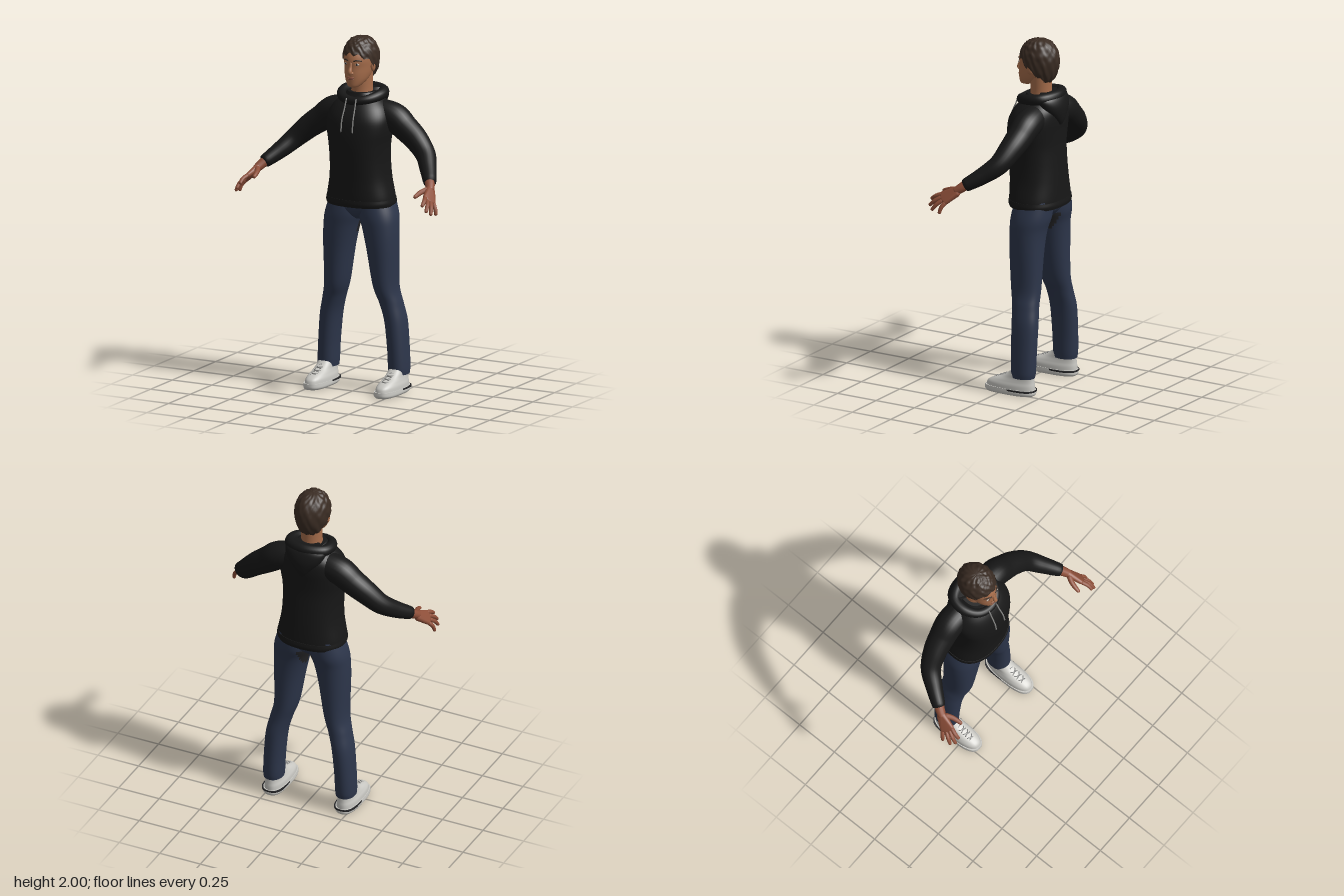
import * as THREE from 'three';
import { mergeVertices } from 'three/addons/utils/BufferGeometryUtils.js';
import { ConvexGeometry } from 'three/addons/geometries/ConvexGeometry.js';

const V = (p) => new THREE.Vector3(...p);
const paint = (name, color, side = THREE.FrontSide) => {
  const m = new THREE.MeshStandardMaterial({ color, side });
  m.name = name;
  return m;
};

// smooth interpolation through rows of numbers, t from 0 to 1
function through(rows) {
  const size = rows[0].length;
  const f = new THREE.CubicInterpolant(rows.map((_, i) => i), new Float32Array(rows.flat()), size);
  return (t) => Array.from(f.evaluate(t * (rows.length - 1)));
}

// weld vertices and recompute smooth normals
function smooth(geo) {
  geo.deleteAttribute('uv');
  geo.deleteAttribute('normal');
  const g = mergeVertices(geo, 1e-5);
  g.computeVertexNormals();
  return g;
}

// stacked level sections [y, xMin, xMax, zBack, zFront], listed upwards;
// isPatch(x, y, z) sends faces to the second material
function loft(sections, { e = 2, n = 40, rows = 40, isPatch } = {}) {
  const at = through(sections), pos = [], main = [], patch = [];
  const pow = (v) => Math.sign(v) * Math.abs(v) ** (2 / e);
  const ring = (t) => {
    const [y, x0, x1, z0, z1] = at(t);
    for (let i = 0; i < n; i++) {
      const a = (i / n) * Math.PI * 2;
      pos.push((x0 + x1) / 2 + ((x1 - x0) / 2) * pow(Math.cos(a)), y,
        (z0 + z1) / 2 + ((z1 - z0) / 2) * pow(Math.sin(a)));
    }
  };
  for (let j = 0; j <= rows; j++) ring(j / rows);
  for (let j = 0; j < rows; j++) for (let i = 0; i < n; i++) {
    const a = j * n + i, b = j * n + (i + 1) % n;
    const list = isPatch && isPatch(...pos.slice(a * 3, a * 3 + 3)) ? patch : main;
    list.push(a, a + n, b, b, a + n, b + n);
  }
  // end caps with their own rings, so the rims stay sharp
  for (const t of [0, 1]) {
    const s = pos.length / 3, [y, x0, x1, z0, z1] = at(t);
    ring(t);
    pos.push((x0 + x1) / 2, y, (z0 + z1) / 2);
    for (let i = 0; i < n; i++) {
      const j = (i + 1) % n;
      if (t) main.push(s + n, s + j, s + i); else main.push(s + n, s + i, s + j);
    }
  }
  const g = new THREE.BufferGeometry();
  g.setAttribute('position', new THREE.Float32BufferAttribute(pos, 3));
  g.setIndex([...main, ...patch]);
  if (isPatch) {
    g.addGroup(0, main.length, 0);
    g.addGroup(main.length, patch.length, 1);
  }
  g.computeVertexNormals();
  return g;
}
// the same with sections symmetric about x = 0: [y, halfWidth, zBack, zFront]
const body = (s, o) => loft(s.map(([y, w, b, f]) => [y, -w, w, b, f]), o);

// tube with a radius at each point [x, y, z, r] and rounded ends
function limb(points, { seg = 32, sides = 16, closed = false, round = 0.1 } = {}) {
  const curve = new THREE.CatmullRomCurve3(points.map((p) => V(p.slice(0, 3))), closed);
  curve.getUtoTmapping = (u) => u;
  const radius = through((closed ? [...points, points[0]] : points).map((p) => [p[3]]));
  const g = new THREE.TubeGeometry(curve, seg, 1, sides, closed);
  const p = g.attributes.position, v = new THREE.Vector3();
  for (let i = 0; i < p.count; i++) {
    const u = Math.floor(i / (sides + 1)) / seg, c = curve.getPointAt(u);
    const d = closed ? 1 : Math.min(1, Math.min(u, 1 - u) / round);
    v.fromBufferAttribute(p, i).sub(c).multiplyScalar(radius(u)[0] * Math.sqrt(1 - (1 - d) ** 2)).add(c);
    p.setXYZ(i, v.x, v.y, v.z);
  }
  return smooth(g);
}

const blob = (c, s) => new THREE.SphereGeometry(1, 20, 14).scale(...s).translate(...c);

export function createModel() {
  const model = new THREE.Group();
  const black = paint('black cotton', 0x171717), denim = paint('navy denim', 0x2d364b);
  const face = paint('face skin', 0xa66d4b), handSkin = paint('hand skin', 0x8e4f39);
  const hairBrown = paint('brown hair', 0x3a2c23, THREE.DoubleSide), shoeWhite = paint('off white', 0xc9c8c3);
  const grey = paint('grey cord', 0x858583), lipRed = paint('lip', 0x87503d);
  const dark = paint('dark trim', 0x262628), eyeWhite = paint('eye white', 0xb9aea4);

  const add = (name, geo, mat) => {
    const m = new THREE.Mesh(geo, mat);
    m.name = name;
    model.add(m);
  };
  // adds the +x part and its mirror image
  const pair = (name, geo, mat) => {
    const g = geo.clone().scale(-1, 1, 1), ix = g.index.array;
    for (let i = 0; i < ix.length; i += 3) [ix[i], ix[i + 1]] = [ix[i + 1], ix[i]];
    g.computeVertexNormals();
    add(name + 'Left', geo, mat);
    add(name + 'Right', g, mat);
  };

  // hooded sweater
  add('sweaterBody', body([
    [1.055, 0.193, -0.248, 0.04], [1.1, 0.193, -0.25, 0.046], [1.2, 0.174, -0.245, 0.05],
    [1.3, 0.168, -0.238, 0.058], [1.4, 0.173, -0.232, 0.065], [1.48, 0.186, -0.235, 0.063],
    [1.55, 0.186, -0.24, 0.052], [1.61, 0.16, -0.235, 0.022], [1.66, 0.11, -0.21, -0.02],
    [1.69, 0.078, -0.185, -0.035]], { e: 2.35, n: 56 }), black);
  add('sweaterHem', body([[1.052, 0.195, -0.252, 0.043], [1.07, 0.199, -0.256, 0.049],
    [1.092, 0.196, -0.253, 0.048]], { e: 2.35, n: 56, rows: 8 }), black);
  pair('sleeve', limb([[0.08, 1.575, -0.13, 0.075], [0.19, 1.55, -0.135, 0.08], [0.26, 1.5, -0.13, 0.074],
    [0.335, 1.445, -0.118, 0.067], [0.41, 1.375, -0.088, 0.057], [0.465, 1.315, -0.02, 0.048],
    [0.53, 1.25, 0.076, 0.035]], { seg: 48, sides: 24, round: 0.03 }), black);

  // hood: rolled collar and the bag hanging behind
  const side = [[0.075, 1.658, -0.028, 0.026], [0.114, 1.674, -0.1, 0.03], [0.1, 1.683, -0.175, 0.031]];
  add('hoodCollar', limb([[0, 1.648, -0.002, 0.024], ...side, [0, 1.688, -0.212, 0.031],
    ...side.map(([x, y, z, r]) => [-x, y, z, r]).reverse()], { seg: 64, closed: true }), black);
  add('hoodBag', body([[1.525, 0.015, -0.245, -0.21], [1.56, 0.045, -0.257, -0.19], [1.62, 0.1, -0.262, -0.15],
    [1.67, 0.122, -0.25, -0.12], [1.705, 0.095, -0.225, -0.13]]), black);
  pair('drawCord', limb([[0.03, 1.668, 0.014, 0.004], [0.032, 1.61, 0.035, 0.004], [0.035, 1.55, 0.06, 0.004],
    [0.036, 1.48, 0.071, 0.0045]], { sides: 8, round: 0.04 }), grey);

  // trousers, with a dark inset at the back of the inner thighs
  pair('trouserLeg', loft([
    [0.1, 0.168, 0.276, -0.198, -0.064], [0.14, 0.165, 0.278, -0.204, -0.06], [0.25, 0.16, 0.273, -0.207, -0.057],
    [0.4, 0.144, 0.261, -0.208, -0.052], [0.5, 0.118, 0.24, -0.198, -0.043], [0.6, 0.086, 0.22, -0.195, -0.02],
    [0.8, 0.05, 0.223, -0.198, -0.005], [0.92, 0.022, 0.222, -0.206, 0], [1.0, -0.004, 0.214, -0.224, 0],
    [1.1, -0.01, 0.182, -0.23, -0.015]], {
    e: 2.2, n: 48, rows: 60,
    isPatch: (x, y, z) => y > 0.84 && y < 0.985 && z < -0.1 && x < 0.03 + (y - 0.84) * 0.12,
  }), [denim, dark]);
  add('trouserSeat', body([[0.97, 0.03, -0.16, -0.05], [1.0, 0.09, -0.195, -0.018], [1.04, 0.17, -0.222, -0.004],
    [1.1, 0.18, -0.23, -0.01]]), denim);

  // shoes
  const sx = 0.222;
  const shoe = (s, o) => loft(s.map(([y, w, b, f]) => [y, sx - w, sx + w, b, f]), o);
  pair('shoeSole', shoe([[0, 0.056, -0.198, 0.098], [0.012, 0.063, -0.205, 0.107], [0.034, 0.062, -0.204, 0.106]],
    { e: 2.7, rows: 8 }), shoeWhite);
  pair('soleStripe', shoe([[0.024, 0.0645, -0.207, -0.0], [0.033, 0.0645, -0.207, -0.0]], { e: 2.7, rows: 2 }), dark);
  pair('shoeUpper', shoe([[0.03, 0.059, -0.2, 0.102], [0.055, 0.057, -0.2, 0.092], [0.075, 0.051, -0.198, 0.06],
    [0.095, 0.046, -0.197, 0.005], [0.115, 0.045, -0.197, -0.035], [0.135, 0.044, -0.197, -0.06]],
    { e: 2.4 }), shoeWhite);
  for (let i = 0; i < 4; i++) {
    const y = 0.079 + i * 0.012, z = 0.052 - i * 0.029;
    for (const d of [-1, 1]) pair('lace', limb([[sx - 0.022 * d, y - 0.005, z - 0.004, 0.003],
      [sx, y + 0.003, z - 0.008, 0.003], [sx + 0.022 * d, y + 0.004, z - 0.024, 0.003]], { seg: 10, sides: 6 }), grey);
  }

  // hands: hulled palm plus fingers
  const knuckles = [[0.558, 1.203, 0.183], [0.571, 1.187, 0.18], [0.582, 1.174, 0.167], [0.589, 1.166, 0.147]];
  const tips = [[0.573, 1.163, 0.253], [0.597, 1.131, 0.25], [0.615, 1.112, 0.225], [0.619, 1.102, 0.172]];
  const hull = [];
  const ball = (c, r) => {
    const p = new THREE.IcosahedronGeometry(r, 2).attributes.position;
    for (let i = 0; i < p.count; i++) hull.push(new THREE.Vector3().fromBufferAttribute(p, i).add(V(c)));
  };
  knuckles.forEach((k) => ball(k, 0.0135));
  ball([0.54, 1.234, 0.1], 0.021);
  ball([0.552, 1.214, 0.1], 0.02);
  pair('palm', smooth(new ConvexGeometry(hull)), handSkin);
  pair('wrist', limb([[0.51, 1.272, 0.05, 0.028], [0.53, 1.247, 0.078, 0.027], [0.55, 1.22, 0.115, 0.022]]), handSkin);
  knuckles.forEach((k, i) => {
    const t = tips[i], mid = k.map((v, a) => (v + t[a]) / 2 + [0.006, 0.004, 0.004][a]);
    pair('finger', limb([[...k, 0.0125], [...mid, 0.0115], [...t, 0.009]], { seg: 20, sides: 10 }), handSkin);
  });
  pair('thumb', limb([[0.54, 1.232, 0.11, 0.017], [0.517, 1.221, 0.155, 0.0145], [0.509, 1.21, 0.19, 0.0125],
    [0.506, 1.2, 0.217, 0.009]], { seg: 20, sides: 10 }), handSkin);

  // head and neck
  add('neck', body([[1.64, 0.068, -0.185, -0.04], [1.7, 0.06, -0.172, -0.05], [1.8, 0.06, -0.172, -0.05]]), face);
  add('head', body([[1.727, 0.016, -0.03, 0.008], [1.735, 0.035, -0.06, 0.02], [1.765, 0.058, -0.12, 0.024],
    [1.8, 0.071, -0.165, 0.025], [1.84, 0.078, -0.19, 0.022], [1.88, 0.081, -0.195, 0.022],
    [1.92, 0.079, -0.19, 0.006], [1.955, 0.062, -0.17, -0.03], [1.98, 0.03, -0.13, -0.07]]), face);
  add('nose', limb([[0, 1.875, 0.016, 0.008], [0, 1.845, 0.024, 0.009], [0, 1.817, 0.032, 0.0125],
    [0, 1.805, 0.024, 0.011]], { round: 0.15 }), face);
  pair('nostril', blob([0.011, 1.812, 0.025], [0.008, 0.007, 0.01]), face);
  add('upperLip', blob([0, 1.786, 0.022], [0.023, 0.005, 0.008]), lipRed);
  add('lowerLip', blob([0, 1.778, 0.022], [0.02, 0.006, 0.008]), lipRed);
  pair('eye', blob([0.034, 1.861, 0.011], [0.014, 0.0065, 0.006]), eyeWhite);
  pair('iris', blob([0.034, 1.861, 0.0145], [0.006, 0.006, 0.0035]), dark);
  pair('eyebrow', limb([[0.014, 1.879, 0.02, 0.004], [0.036, 1.884, 0.012, 0.004], [0.056, 1.878, -0.007, 0.003]],
    { sides: 8 }), hairBrown);
  pair('ear', blob([0.083, 1.843, -0.085], [0.012, 0.033, 0.02]), face);

  // hair: a tufted cap cut along a hairline that drops from brow to nape
  const hair = new THREE.SphereGeometry(1, 72, 40), p = hair.attributes.position;
  for (let i = 0; i < p.count; i++) {
    const a = (i % 73) / 73 * (73 / 72) * Math.PI * 2, k = Math.floor(i / 73) / 40;
    const edge = (112 - 38 * Math.cos(a) + 4 * Math.sin(11 * a)) * Math.PI / 180, th = k * edge;
    const tuft = 1 + 0.035 * Math.sin(k * 4) * Math.sin(9 * a + 14 * k) * Math.sin(17 * k + 1 + 3 * Math.sin(2 * a))
      + 0.02 * k * Math.sin(13 * a - 21 * k);
    const r = Math.sin(th) ** 0.85 * tuft, c = Math.cos(th);
    p.setXYZ(i, 0.098 * r * Math.sin(a), 1.882 + c * (c > 0 ? 0.117 : 0.15) * tuft, -0.1 + 0.117 * r * Math.cos(a));
  }
  // the seam is welded and the outward winding restored
  const cap = smooth(hair), ix = cap.index.array, nrm = cap.attributes.normal;
  let top = 0;
  for (let i = 0; i < nrm.count; i++) top += nrm.getY(i) * (cap.attributes.position.getY(i) - 1.88);
  if (top < 0) {
    for (let i = 0; i < ix.length; i += 3) [ix[i], ix[i + 1]] = [ix[i + 1], ix[i]];
    cap.computeVertexNormals();
  }
  add('hair', cap, hairBrown);
  return model;
}
